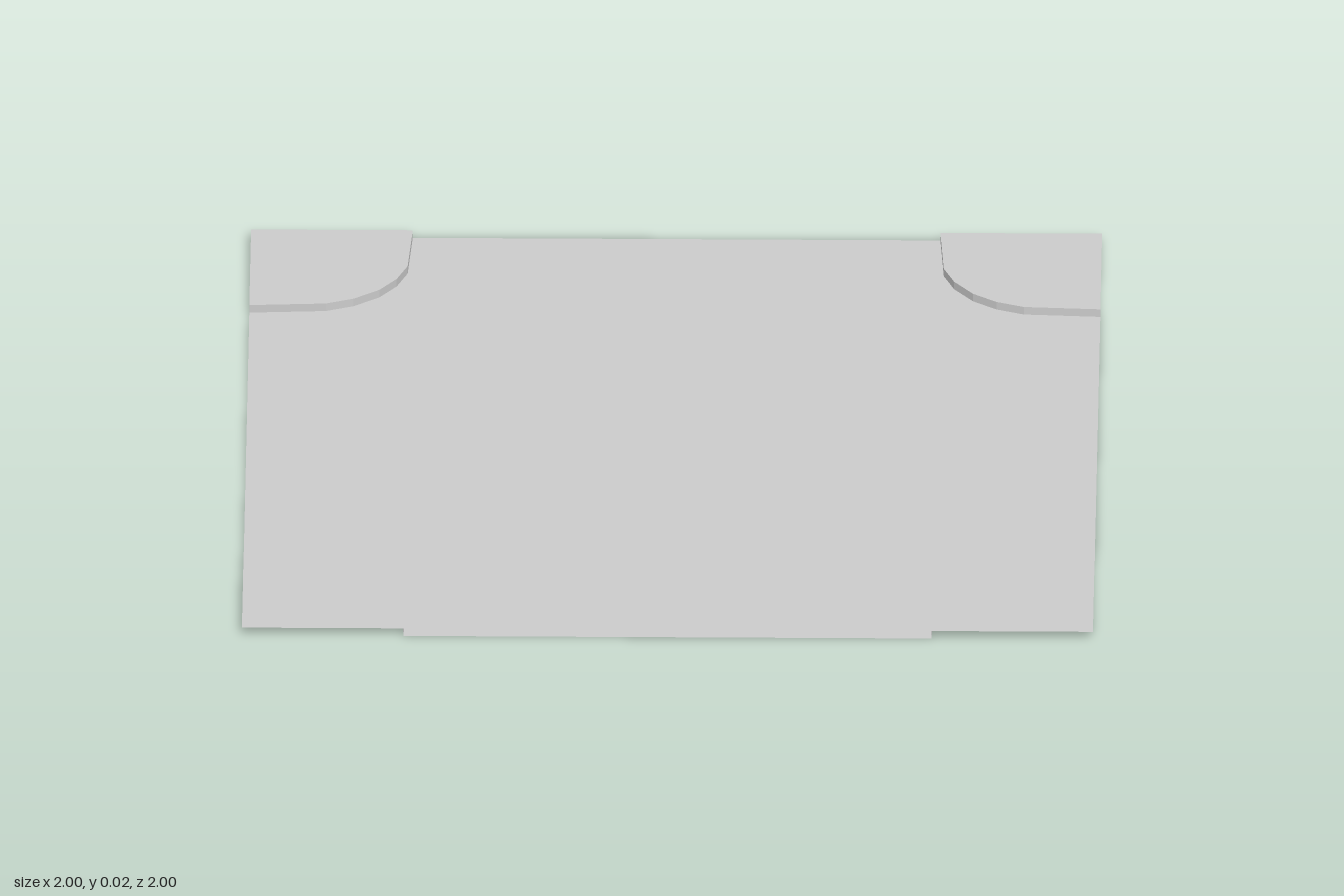
import * as THREE from 'three';

const HEIGHT = 0.02;   // kerb height
const STRIP = 0.97;    // inner edge of the edge strips

// Kerb line of one corner, as distances inward from the corner point
const KERB = [[0, 0.38], [0.18, 0.37], [0.245, 0.345], [0.3, 0.305],
  [0.345, 0.245], [0.37, 0.18], [0.38, 0]]
  .map(([dx, dy]) => new THREE.Vector2(1 - dx, 1 - dy));

const material = new THREE.MeshStandardMaterial({
  color: 0xcccccc, side: THREE.DoubleSide, flatShading: true,
});

function flatSheet(name, points, y) {
  const geometry = new THREE.ShapeGeometry(new THREE.Shape(points));
  geometry.rotateX(-Math.PI / 2).translate(0, y, 0);
  const mesh = new THREE.Mesh(geometry, material);
  mesh.name = name;
  return mesh;
}

// Upright wall between the road and the raised corner
function kerbWall() {
  const positions = [], index = [];
  KERB.forEach((p, i) => {
    positions.push(p.x, 0, -p.y, p.x, HEIGHT, -p.y);
    if (i > 0) {
      const a = 2 * (i - 1);
      index.push(a, a + 1, a + 2, a + 2, a + 1, a + 3);
    }
  });
  const geometry = new THREE.BufferGeometry();
  geometry.setAttribute('position', new THREE.Float32BufferAttribute(positions, 3));
  geometry.setIndex(index);
  geometry.computeVertexNormals();
  const mesh = new THREE.Mesh(geometry, material);
  mesh.name = 'kerbWall';
  return mesh;
}

export function createModel() {
  const model = new THREE.Group();
  model.name = 'crossroadTile';
  const v = (x, y) => new THREE.Vector2(x, y);
  const origin = v(0, 0);
  const road = [];

  // Four identical quarters turned about the centre
  for (let k = 0; k < 4; k++) {
    const angle = k * Math.PI / 2;

    // Road outline, notched for the strip and cut back along the kerb
    const outline = [v(1, 0), v(STRIP, 0), v(STRIP, 0.62), ...KERB];
    road.push(...outline.map((p) => p.clone().rotateAround(origin, angle)));

    const quarter = new THREE.Group();
    quarter.name = 'quarter' + (k + 1);
    quarter.add(
      flatSheet('pavementCorner', [v(1, 1), ...KERB], HEIGHT),
      kerbWall(),
      flatSheet('stopLine', [v(STRIP, 0), v(1, 0), v(1, 0.62), v(STRIP, 0.62)], 0),
    );
    quarter.rotation.y = angle;
    model.add(quarter);
  }

  model.add(flatSheet('road', road, 0));
  return model;
}
